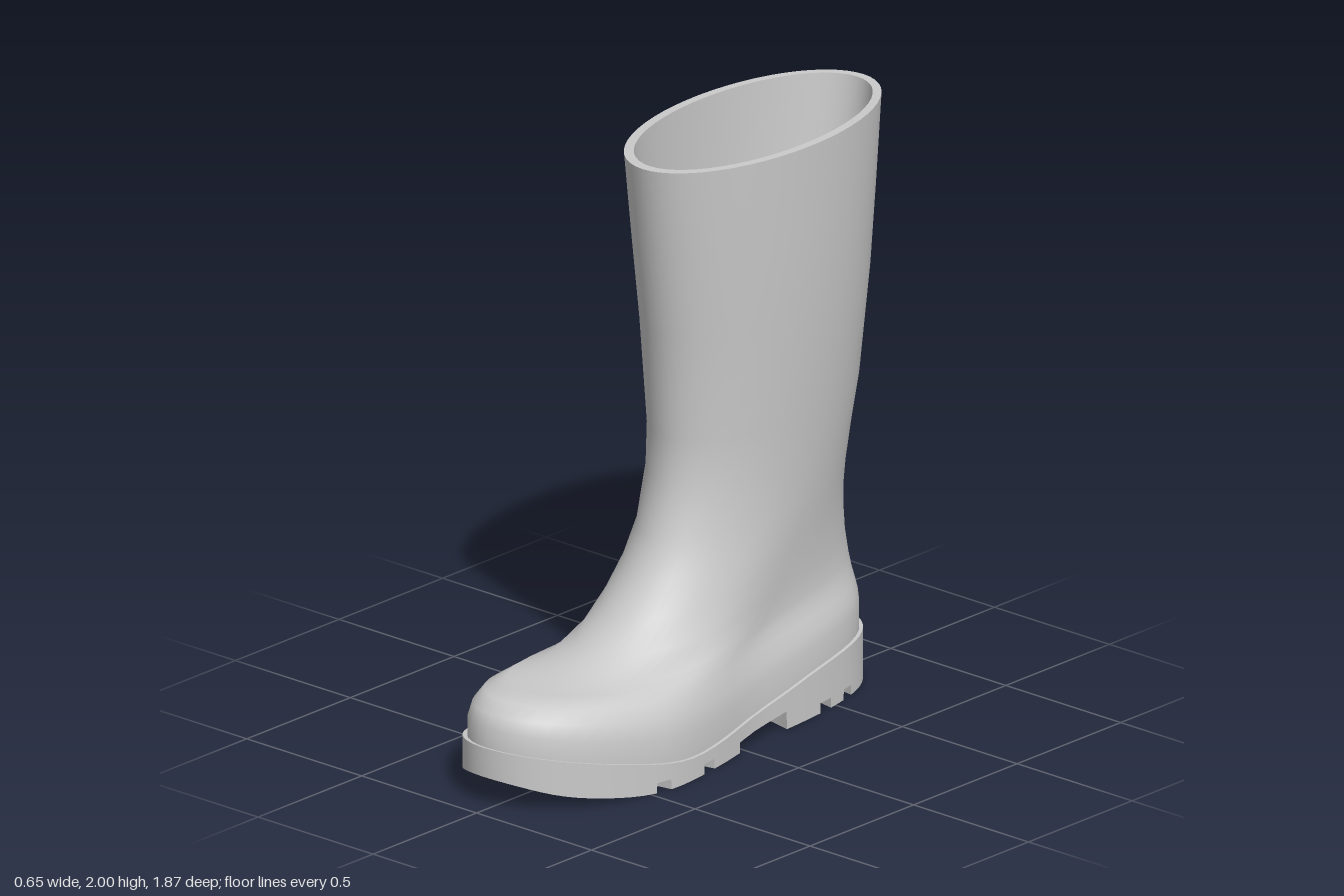
import * as THREE from 'three';
import { toCreasedNormals } from 'three/addons/utils/BufferGeometryUtils.js';

const CX = -0.03;            // lengthwise axis of the boot
const Z_MID = 0.0625, Z_HALF = 0.8725;

// Smooth curve through [position, value] knots
function curve(keys) {
  const slope = (i) => {
    const a = keys[Math.max(i - 1, 0)], b = keys[Math.min(i + 1, keys.length - 1)];
    return (b[1] - a[1]) / (b[0] - a[0]);
  };
  return (p) => {
    p = Math.min(Math.max(p, keys[0][0]), keys[keys.length - 1][0]);
    let i = 0;
    while (i < keys.length - 2 && p > keys[i + 1][0]) i++;
    const h = keys[i + 1][0] - keys[i][0], s = (p - keys[i][0]) / h, r = 1 - s;
    return keys[i][1] * r * r * (1 + 2 * s) + slope(i) * h * s * r * r
      + keys[i + 1][1] * s * s * (3 - 2 * s) - slope(i + 1) * h * s * s * r;
  };
}

// Foot outline as fullness of an ellipse from heel (-1) to toe (1), per side
const leftFull = curve([[-1, 0.38], [-0.64, 0.315], [-0.18, 0.285], [0.1, 0.33], [0.37, 0.384], [0.62, 0.405], [1, 0.44]]);
const rightFull = curve([[-1, 0.38], [-0.64, 0.31], [-0.18, 0.265], [0.1, 0.285], [0.37, 0.32], [0.62, 0.35], [1, 0.4]]);
const LEFT_MAX = 0.357, RIGHT_MAX = 0.298;

// Height of the joint between sole and upper, and of the tread
const soleTop = curve([[-0.82, 0.18], [-0.6, 0.172], [-0.4, 0.155], [-0.2, 0.12], [0, 0.09], [0.25, 0.073], [0.4, 0.085], [0.6, 0.125], [0.94, 0.2]]);
const toeSpring = curve([[-0.85, 0], [0.3, 0], [0.48, 0], [0.6, 0.012], [0.8, 0.05], [0.94, 0.1]]);

// Skin over a list of closed rings of equal point count
function loft(rings, crease) {
  const n = rings[0].length, index = [];
  for (let i = 0; i < rings.length - 1; i++) {
    for (let j = 0; j < n; j++) {
      const k = (j + 1) % n;
      const a = i * n + j, b = i * n + k, c = b + n, d = a + n;
      index.push(a, b, c, a, c, d);
    }
  }
  const g = new THREE.BufferGeometry();
  g.setAttribute('position', new THREE.Float32BufferAttribute(rings.flat(2), 3));
  g.setIndex(index);
  return toCreasedNormals(g, crease);
}

// Ring: front z, y; back z, y; right and left x; sag towards the sole line; roundness (0 foot, 1 ellipse)
function ring([zf, yf, zb, yb, xr, xl, sag, round]) {
  const points = [], n = 56;
  for (let j = 0; j < n; j++) {
    const t = (j / n) * Math.PI * 2, u = Math.cos(t), s = Math.sin(t);
    const foot = s > 0 ? leftFull(u) / LEFT_MAX : rightFull(u) / RIGHT_MAX;
    const reach = s > 0 ? xl - CX : CX - xr;
    const z = (zf + zb) / 2 + u * (zf - zb) / 2, f = (1 + u) / 2;
    const dip = soleTop(z) - THREE.MathUtils.lerp(soleTop(zb), soleTop(zf), f);
    const turn = 0.015 * yb * u;   // the shaft turns slightly outward as it rises
    points.push([CX + turn + s * reach * (foot * (1 - round) + round), yb + (yf - yb) * f + sag * dip, z]);
  }
  return points;
}

const UPPER = [
  [0.922, 0.195, -0.8, 0.175, -0.314, 0.314, 1, 0],
  [0.92, 0.26, -0.802, 0.265, -0.317, 0.314, 0.9, 0],
  [0.9, 0.305, -0.8, 0.305, -0.312, 0.3, 0.75, 0],
  [0.85, 0.338, -0.795, 0.34, -0.303, 0.275, 0.62, 0.05],
  [0.74, 0.344, -0.787, 0.38, -0.294, 0.246, 0.5, 0.2],
  [0.6, 0.326, -0.778, 0.43, -0.287, 0.224, 0.38, 0.4],
  [0.42, 0.38, -0.764, 0.51, -0.28, 0.207, 0.2, 0.6],
  [0.3, 0.47, -0.755, 0.6, -0.276, 0.2, 0, 0.75],
  [0.2, 0.58, -0.752, 0.68, -0.275, 0.196, 0, 0.88],
  [0.13, 0.7, -0.76, 0.77, -0.277, 0.196, 0, 1],
  [0.08, 0.88, -0.785, 0.9, -0.285, 0.202, 0, 1],
  [0.072, 1.03, -0.82, 1.06, -0.295, 0.215, 0, 1],
  [0.11, 1.4, -0.87, 1.42, -0.312, 0.24, 0, 1],
  [0.155, 1.7, -0.902, 1.7, -0.318, 0.25, 0, 1],
  [0.2, 2, -0.935, 1.99, -0.32, 0.255, 0, 1],
];

// Rim, inner wall and insole
function liningGeometry() {
  const inset = ([zf, yf, zb, yb, xr, xl]) => ring([zf - 0.036, yf, zb + 0.03, yb, xr + 0.03, xl - 0.03, 0, 1]);
  const rings = [ring(UPPER[14])];
  for (let i = 14; i >= 9; i--) rings.push(inset(UPPER[i]));
  rings.push(ring([0.01, 0.35, -0.69, 0.35, -0.21, 0.15, 0, 1]));
  rings.push(ring([-0.34, 0.35, -0.34, 0.35, CX, CX, 0, 1]));
  return loft(rings, 0.7);
}

// Sole: cross-sections from heel to toe, stepped at the arch and grooves
const GROOVES = [[-0.6, -0.55], [-0.47, -0.41], [0.19, 0.25], [0.42, 0.48]];
const ARCH = [-0.23, 0.03];

function treadHeight(z) {
  const y = toeSpring(z);
  if (z > ARCH[0] && z < ARCH[1]) return THREE.MathUtils.mapLinear(z, ARCH[0], ARCH[1], 0.062, 0.036);
  return GROOVES.some(([a, b]) => z > a && z < b) ? y + 0.035 : y;
}

function soleGeometry() {
  const stations = [];
  for (let i = 0; i <= 44; i++) stations.push(Z_MID - Z_HALF * Math.cos((i / 44) * Math.PI));
  for (const edge of [...GROOVES, ARCH].flat()) stations.push(edge - 0.001, edge + 0.001);
  stations.sort((a, b) => a - b);
  const sections = stations.map((z) => {
    const u = THREE.MathUtils.clamp((z - Z_MID) / Z_HALF, -1, 1), e = Math.sqrt(1 - u * u);
    const left = CX + e * leftFull(u), right = CX - e * rightFull(u);
    const top = soleTop(z), bottom = treadHeight(z);
    // grooves bow away from the arch at the middle
    const bow = 0.06 * e * (1 - u ** 4) * THREE.MathUtils.clamp((z + 0.1) / 0.13, -1, 1);
    return [
      [left, top, z], [right, top, z],
      [right, bottom, z], [(left + right) / 2, bottom, z + bow], [left, bottom, z],
    ];
  });
  return loft(sections, 0.6);
}

export function createModel() {
  const rubber = new THREE.MeshStandardMaterial({ color: 0xcacaca });
  rubber.name = 'grey rubber';
  const boot = new THREE.Group();
  boot.name = 'boot';
  const add = (name, geometry) => {
    const mesh = new THREE.Mesh(geometry, rubber);
    mesh.name = name;
    boot.add(mesh);
  };
  add('upper', loft(UPPER.map(ring), 1.2));
  add('lining', liningGeometry());
  add('sole', soleGeometry());
  return boot;
}
